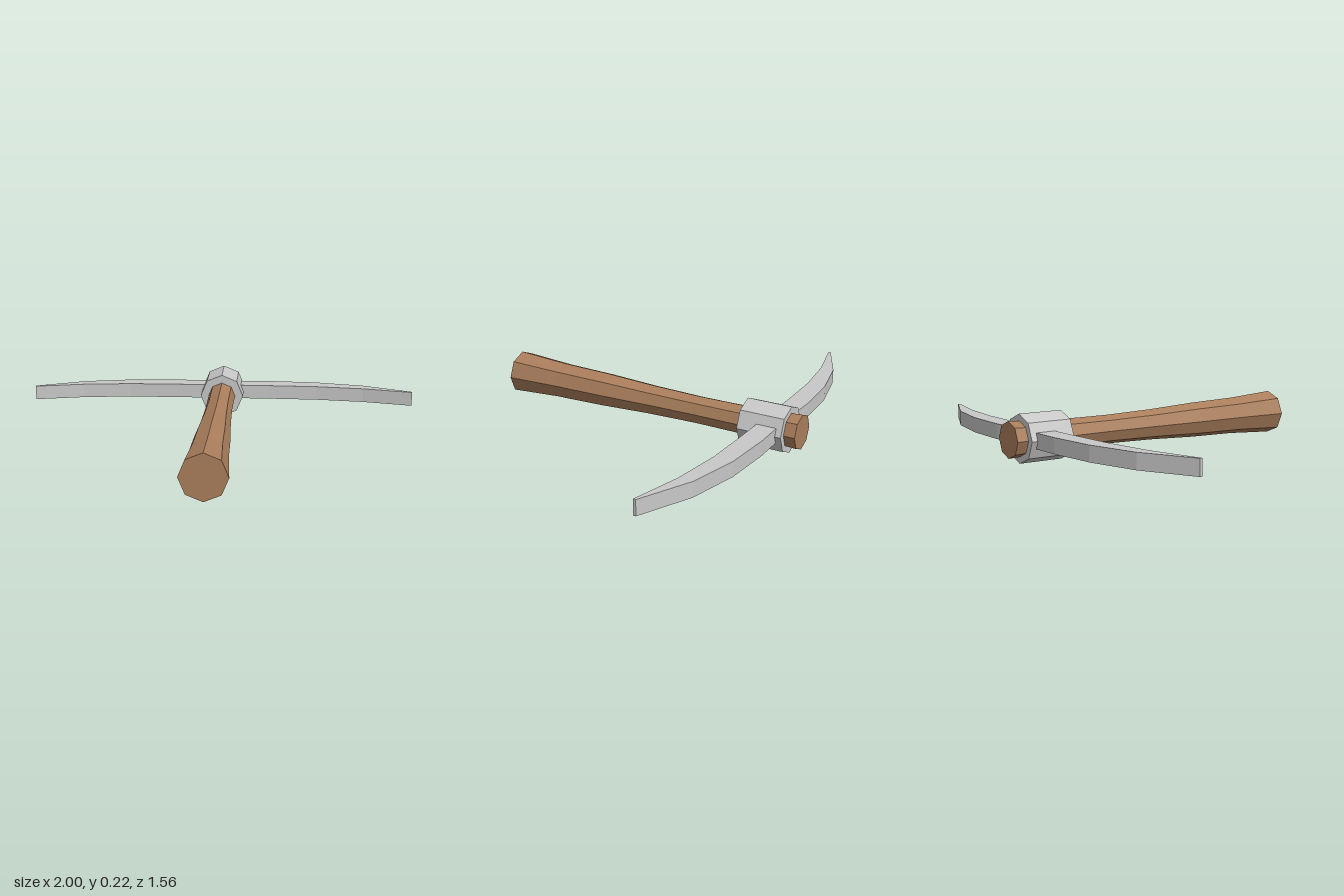
import * as THREE from 'three';

const AXIS_Y = 0.113; // height of the handle's centre line

// Eight-sided faceted solid turned around the z axis; profile is [radius, z] from back to front.
function octagonTurning(profile) {
  const points = profile.map(([r, z]) => new THREE.Vector2(r, z));
  const geometry = new THREE.LatheGeometry(points, 8).toNonIndexed();
  geometry.computeVertexNormals();
  return geometry.rotateX(Math.PI / 2).translate(0, AXIS_Y, 0);
}

export function createModel() {
  const wood = new THREE.MeshStandardMaterial({ color: 0xaa7e5c });
  wood.name = 'wood';
  const metal = new THREE.MeshStandardMaterial({ color: 0xc8c8c8 });
  metal.name = 'metal';

  const group = new THREE.Group();
  group.name = 'pickaxe';
  const add = (name, geometry, material) => {
    const mesh = new THREE.Mesh(geometry, material);
    mesh.name = name;
    group.add(mesh);
  };

  // Handle: slim waist, flared grip, slightly wider at the head end
  add('handle', octagonTurning([
    [0, -0.78], [0.084, -0.78], [0.07, -0.52], [0.068, -0.26], [0.074, 0],
    [0.086, 0.26], [0.092, 0.52], [0.108, 0.78], [0, 0.78],
  ]), wood);

  // Collar clamping the head to the handle
  add('collar', octagonTurning([
    [0, -0.725], [0.112, -0.725], [0.112, -0.508], [0, -0.508],
  ]), metal);

  // Curved head: one half as [x, back edge z, inner edge z], mirrored to the other side
  const half = [
    [0.25, -0.7, -0.6], [0.5, -0.686, -0.595], [0.75, -0.633, -0.566], [1, -0.52, -0.507],
  ];
  const right = half.map(([x, back]) => [x, back]);
  const rightInner = half.map(([x, , inner]) => [x, inner]).reverse();
  const mirror = (list) => list.map(([x, z]) => [-x, z]).reverse();
  const outline = [
    [0, -0.694], ...right, ...rightInner, [0, -0.6], ...mirror(rightInner), ...mirror(right),
  ];
  const shape = new THREE.Shape(outline.map(([x, z]) => new THREE.Vector2(x, z)));
  const thickness = 0.072;
  const head = new THREE.ExtrudeGeometry(shape, { depth: thickness, bevelEnabled: false });
  head.rotateX(Math.PI / 2).translate(0, AXIS_Y + thickness / 2, 0);
  add('head', head, metal);

  return group;
}
